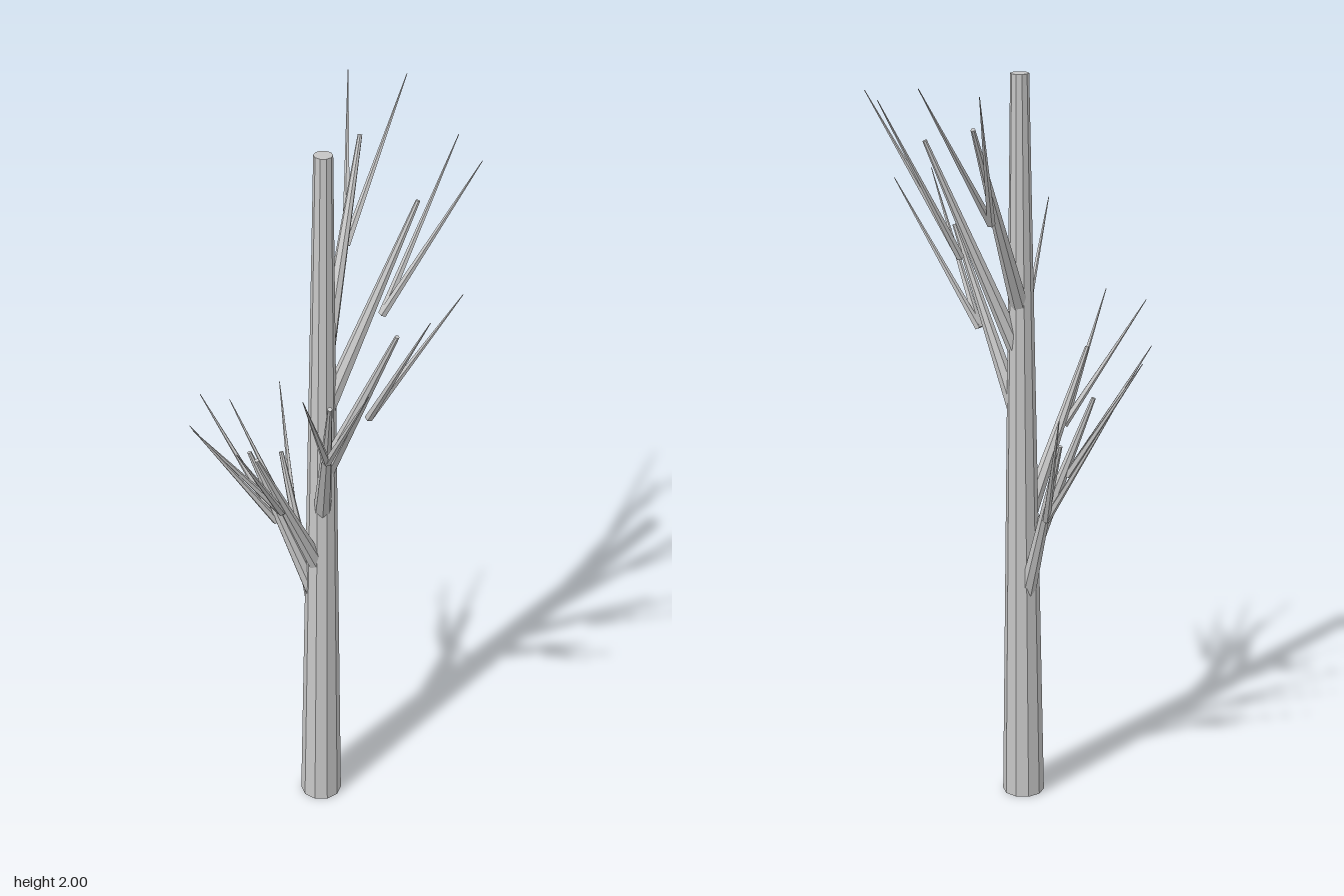
import * as THREE from 'three';

const bark = new THREE.MeshStandardMaterial({ color: 0xc6c6c6, flatShading: true });
bark.name = 'grey bark';

const UP = new THREE.Vector3(0, 1, 0);
const vec = (p) => new THREE.Vector3(...p);

// Tapered limb running from one point to another
function limb(name, from, to, r0, r1, sides) {
  const dir = to.clone().sub(from);
  const geometry = new THREE.CylinderGeometry(r1, r0, dir.length(), sides);
  const mesh = new THREE.Mesh(geometry, bark);
  mesh.name = name;
  mesh.position.copy(from).addScaledVector(dir, 0.5);
  mesh.quaternion.setFromUnitVectors(UP, dir.normalize());
  return mesh;
}

const trunkBase = vec([-0.053, 0.003, -0.022]);
const trunkTop = vec([-0.026, 1.975, -0.026]);

// Each branch: height where it leaves the trunk axis, its tip,
// the height where its twigs begin just under it, and the tips of the twigs
const branches = [
  { start: 0.52, tip: [0.01, 1.04, -0.193], fork: 0.82, twigs: [[-0.012, 1.16, -0.345], [0.135, 1.16, -0.29]] },
  { start: 0.63, tip: [-0.147, 1.13, -0.177], fork: 0.915, twigs: [[-0.287, 1.255, -0.257], [-0.148, 1.25, -0.333]] },
  { start: 0.75, tip: [-0.272, 1.22, -0.056], fork: 1.02, twigs: [[-0.4, 1.34, -0.153], [-0.423, 1.34, 0]] },
  { start: 0.93, tip: [-0.265, 1.45, 0.165], fork: 1.225, twigs: [[-0.422, 1.565, 0.2], [-0.313, 1.565, 0.312]] },
  { start: 1.05, tip: [-0.037, 1.555, 0.203], fork: 1.29, twigs: [[-0.105, 1.675, 0.343], [0.052, 1.675, 0.332]] },
  { start: 1.23, tip: [0.168, 1.815, 0.12], fork: 1.51, twigs: [[0.325, 1.935, 0.132], [0.237, 1.935, 0.258]] },
  { start: 1.36, tip: [0.265, 1.885, -0.123], fork: 1.63, twigs: [[0.373, 1.99, -0.237], [0.422, 2.0, -0.09]] },
];

export function createModel() {
  const tree = new THREE.Group();
  tree.name = 'bareTree';
  tree.add(limb('trunk', trunkBase, trunkTop, 0.056, 0.024, 10));

  branches.forEach(({ start, tip, fork, twigs }, i) => {
    const group = new THREE.Group();
    group.name = `branchGroup${i + 1}`;
    const from = trunkBase.clone().lerp(trunkTop, start / 1.975);
    const to = vec(tip);
    group.add(limb('branch', from, to, 0.025, 0.006, 7));

    // Pair of twigs spreading from below the branch
    const twigBase = from.clone().lerp(to, 0.64).setY(fork);
    twigs.forEach((end) => group.add(limb('twig', twigBase, vec(end), 0.011, 0.001, 5)));
    tree.add(group);
  });
  return tree;
}
